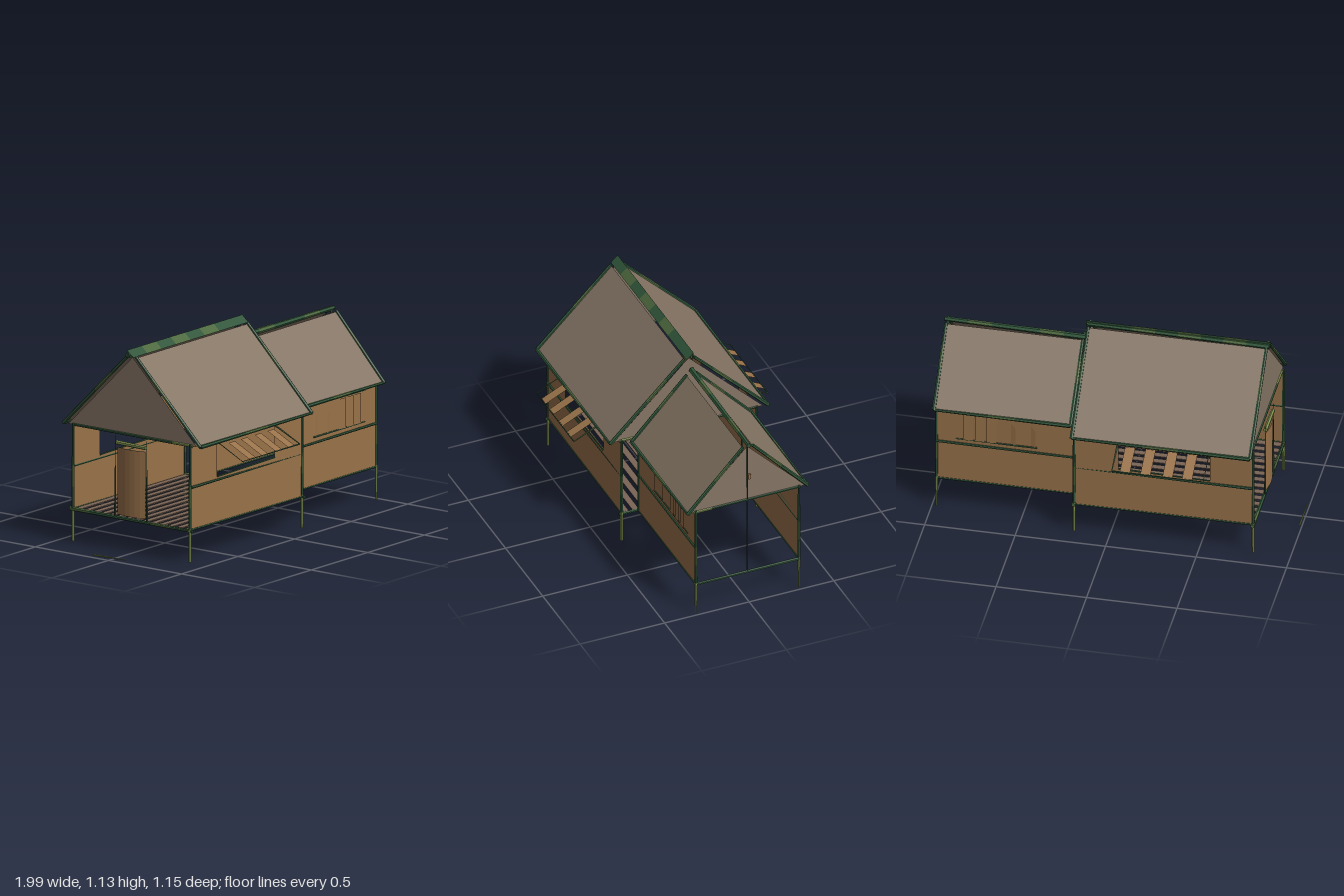
import * as THREE from 'three';

const mat = (name, color) => {
  const m = new THREE.MeshStandardMaterial({ color, side: THREE.DoubleSide, flatShading: true });
  m.name = name;
  return m;
};

export function createModel() {
  const root = new THREE.Group();
  root.name = 'stiltHut';
  const bamboo = mat('dark bamboo', 0x31563a);
  const moss = mat('moss bamboo', 0x4d693f);
  const olive = mat('olive bamboo', 0x7f9150);
  const wall = mat('woven wall', 0x99724a);
  const thatch = mat('thatch', 0x867666);
  const plank = mat('floor plank', 0x7a6556);

  const add = (name, geo, material) => {
    const mesh = new THREE.Mesh(geo, material);
    mesh.name = name;
    root.add(mesh);
    return mesh;
  };

  // Tapered pole between two points
  const pole = (name, a, b, r0, r1 = r0, material = bamboo) => {
    const p = new THREE.Vector3(...a), q = new THREE.Vector3(...b);
    const dir = q.clone().sub(p);
    const mesh = add(name, new THREE.CylinderGeometry(r1, r0, dir.length(), 6), material);
    mesh.position.copy(p).add(q).multiplyScalar(0.5);
    mesh.quaternion.setFromUnitVectors(new THREE.Vector3(0, 1, 0), dir.normalize());
    return mesh;
  };

  // Pole made of equal lengths in different colours
  const bandedPole = (name, a, b, r0, r1, mats) => {
    const at = t => a.map((v, i) => THREE.MathUtils.lerp(v, b[i], t));
    const r = t => THREE.MathUtils.lerp(r0, r1, t);
    mats.forEach((m, i) => {
      const t0 = i / mats.length, t1 = (i + 1) / mats.length;
      pole(name, at(t0), at(t1), r(t0), r(t1), m);
    });
  };

  // Flat sheet through three or four corners
  const sheet = (name, pts, material) => {
    const geo = new THREE.BufferGeometry();
    geo.setAttribute('position', new THREE.Float32BufferAttribute(pts.flat(), 3));
    geo.setIndex(pts.length === 4 ? [0, 1, 2, 0, 2, 3] : [0, 1, 2]);
    geo.computeVertexNormals();
    return add(name, geo, material);
  };

  // Upright wall along x, with an optional window opening
  const sideWall = (name, x0, x1, z, hole) => {
    const s = new THREE.Shape([[x0, 0.19], [x1, 0.19], [x1, 0.67], [x0, 0.67]].map(p => new THREE.Vector2(...p)));
    if (hole) s.holes.push(new THREE.Path(hole.map(p => new THREE.Vector2(...p))));
    add(name, new THREE.ShapeGeometry(s), wall).position.z = z;
  };

  // Pitched roof: slopes, bamboo edging and gables
  const roof = (name, x0, x1, eaveZ, topY, gableZ, gableXs) => {
    const eaveY = 0.66, topZ = 0.028;
    for (const s of [1, -1]) {
      sheet(name + 'Slope', [[x0, eaveY, s * eaveZ], [x1, eaveY, s * eaveZ],
        [x1, topY, s * topZ], [x0, topY, s * topZ]], thatch);
      for (const x of [x0, x1])
        bandedPole(name + 'Rake', [x, eaveY + 0.003, s * eaveZ], [x, topY + 0.005, s * topZ], 0.011, 0.009,
          [bamboo, bamboo, moss, bamboo]);
      bandedPole(name + 'Eave', [x0, eaveY + 0.004, s * eaveZ], [x1, eaveY + 0.004, s * eaveZ], 0.011, 0.007,
        [bamboo, bamboo, moss, bamboo, bamboo]);
    }
    for (const x of gableXs) {
      sheet(name + 'Gable', [[x, eaveY, gableZ], [x, eaveY, -gableZ], [x, topY, 0]], thatch);
      bandedPole(name + 'Tie', [x, eaveY, gableZ - 0.03], [x, eaveY, 0.03 - gableZ], 0.008, 0.007,
        [olive, bamboo, bamboo, bamboo, bamboo, bamboo]);
    }
  };
  roof('mainRoof', -0.79, 0.195, 0.468, 1.095, 0.44, [-0.785, 0.185]);
  roof('annexRoof', 0.225, 0.98, 0.355, 1.01, 0.345, [0.972]);

  // Main ridge: split culms forming a lopsided cap
  const ridgeMats = [bamboo, moss, bamboo, moss, bamboo, moss, bamboo, bamboo];
  ridgeMats.forEach((m, i) => {
    const xa = -0.81 + i * 0.1275, xb = xa + 0.1275;
    const strip = (y0, z0, y1, z1) =>
      sheet('mainRidgeCap', [[xa, y0, z0], [xb, y0, z0], [xb, y1, z1], [xa, y1, z1]], m);
    strip(1.1, 0.022, 1.136, -0.02);
    strip(1.136, -0.02, 1.092, -0.012);
  });
  bandedPole('mainRidge', [-0.805, 1.106, -0.02], [0.205, 1.11, -0.012], 0.016, 0.011, ridgeMats);
  bandedPole('annexRidge', [0.2, 1.02, -0.012], [0.993, 1.025, -0.002], 0.017, 0.013,
    [bamboo, moss, bamboo, bamboo, moss, bamboo]);

  // Stilt posts: olive feet below the floor, dark above
  const post = (x, z, footY, footR) => {
    pole('postFoot', [x, footY, z], [x, 0.2, z], footR, 0.009, olive);
    bandedPole('post', [x, 0.2, z], [x, 0.67, z], 0.009, 0.007, [bamboo, moss, bamboo, bamboo]);
  };

  for (const s of [1, -1]) {
    const zMain = s * 0.4, zAnnex = s * 0.305;
    for (const x of [-0.795, 0.195]) post(x, zMain, 0.015, 0.008);
    post(0.975, zAnnex, 0.005, 0.005);
    pole('annexInnerPost', [0.21, 0.19, zAnnex], [0.21, 0.67, zAnnex], 0.006);

    // Walls and their rails
    sideWall('mainWall', -0.79, 0.2, zMain, [[-0.555, 0.445], [-0.05, 0.455], [-0.05, 0.64], [-0.555, 0.64]]);
    sideWall('annexWall', 0.2, 0.975, zAnnex);
    pole('mainRail', [-0.79, 0.43, s * 0.405], [0.19, 0.425, s * 0.4], 0.008, 0.001);
    pole('annexRail', [0.2, 0.428, s * 0.309], [0.975, 0.432, s * 0.309], 0.006, 0.007);
    pole('mainSill', [-0.79, 0.193, zMain], [0.2, 0.188, zMain], 0.006, 0.004);
    pole('annexSill', [0.2, 0.19, zAnnex], [0.975, 0.19, zAnnex], 0.004, 0.006);

    // Propped-open window awning with four slats
    pole('windowHead', [-0.555, 0.638, s * 0.405], [-0.05, 0.638, s * 0.405], 0.005, 0.003);
    pole('windowSill', [-0.555, 0.447, s * 0.402], [-0.05, 0.455, s * 0.402], 0.004, 0.005);
    pole('awningEdge', [-0.555, 0.555, s * 0.573], [-0.05, 0.555, s * 0.573], 0.002, 0.004);
    pole('awningSide', [-0.555, 0.635, s * 0.41], [-0.555, 0.555, s * 0.573], 0.003, 0.002, moss);
    pole('awningSide', [-0.05, 0.632, s * 0.41], [-0.05, 0.556, s * 0.573], 0.006, 0.003, moss);
    for (const x of [-0.465, -0.357, -0.235, -0.122])
      sheet('awningSlat', [[x - 0.028, 0.625, s * 0.43], [x + 0.028, 0.625, s * 0.43],
        [x + 0.028, 0.557, s * 0.57], [x - 0.028, 0.557, s * 0.57]], wall);

    // Closed annex shutter: slightly twisted slats half sunk in the wall
    pole('shutterHead', [0.41, 0.638, s * 0.307], [0.87, 0.638, s * 0.307], 0.003, 0.005);
    pole('shutterSill', [0.42, 0.46, s * 0.307], [0.87, 0.46, s * 0.307], 0.005, 0.003);
    [0.455, 0.565, 0.67, 0.735, 0.8].forEach((x, i) => {
      const twist = i < 2 ? -0.006 : 0.008;
      const topY = i < 2 ? 0.57 : 0.63;
      sheet('shutterSlat', [[x - 0.027, topY, s * 0.31], [x + 0.027, 0.63, s * (0.305 + twist)],
        [x + 0.027, 0.462, s * (0.305 + twist)], [x - 0.027, 0.462, s * 0.31]], wall);
    });

    // Door jambs
    pole('doorJamb', [-0.8, 0.195, s * 0.109], [-0.8, 0.645, s * 0.107], 0.006, 0.001);
  }

  // Floor planks along the main room
  const count = 14;
  for (let i = 0; i < count; i++) {
    const z = -0.375 + (0.75 * i) / (count - 1);
    add('floorPlank', new THREE.BoxGeometry(0.98, 0.006, 0.036), plank).position.set(-0.297, 0.193, z);
  }

  // Cross beams under the floor
  for (const x of [-0.795, 0.195])
    bandedPole('floorBeam', [x, 0.188, 0.415], [x, 0.193, -0.42], 0.008, 0.012,
      [bamboo, moss, bamboo, bamboo, bamboo, moss]);
  pole('annexBeam', [0.975, 0.19, 0.31], [0.975, 0.19, -0.31], 0.008, 0.01);

  // Centre pole of the open annex end, split flat, with a small peg
  pole('kingPost', [0.975, 0.19, 0], [0.975, 1.02, 0], 0.007, 0.009).scale.z = 0.35;
  add('kingPostPeg', new THREE.BoxGeometry(0.012, 0.03, 0.014), wall).position.set(0.978, 0.812, -0.01);

  // Door, lintel and entry step
  const door = add('door', new THREE.CylinderGeometry(0.3, 0.3, 0.375, 6, 1, true, -Math.PI / 2 - 0.33, 0.66), wall);
  door.position.set(-0.512, 0.397, 0);
  pole('doorLintel', [-0.8, 0.606, 0.102], [-0.8, 0.61, -0.098], 0.011, 0.012, olive);
  pole('entryStep', [-0.99, 0.021, 0.11], [-0.99, 0.018, -0.108], 0.002, 0.005, olive);

  return root;
}
